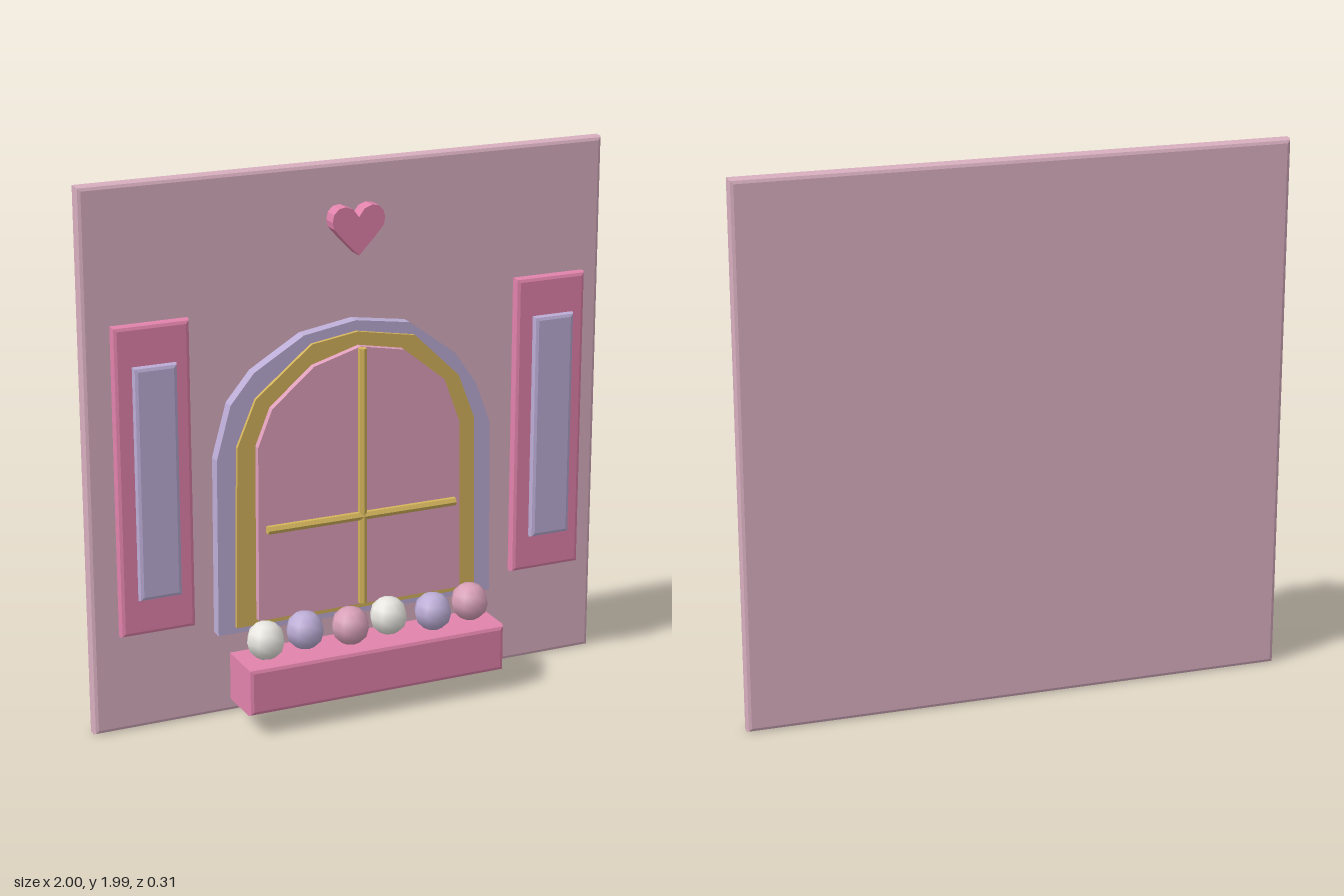
import * as THREE from 'three';

const COLORS = { wall: 0xd9afc0, pink: 0xe283ac, lavender: 0xbcadd6, gold: 0xd4b45c, glass: 0xe0a0bc, white: 0xe8e6e0, rose: 0xd8a0b8 };

export function createModel() {
  const group = new THREE.Group();

  function add(name, geometry, color, x = 0, y = 0, z = 0, flat = true) {
    const mesh = new THREE.Mesh(geometry, new THREE.MeshStandardMaterial({ color: COLORS[color], flatShading: flat }));
    mesh.name = name;
    mesh.position.set(x, y, z);
    group.add(mesh);
    return mesh;
  }

  // Box with chamfered edges, centred on its own origin
  function slab(w, h, d, b) {
    const s = new THREE.Shape();
    const x = w / 2 - b, y = h / 2 - b;
    s.moveTo(-x, -y).lineTo(x, -y).lineTo(x, y).lineTo(-x, y).closePath();
    return new THREE.ExtrudeGeometry(s, { depth: d - 2 * b, bevelThickness: b, bevelSize: b, bevelSegments: 2 })
      .translate(0, 0, b - d / 2);
  }

  // Flat plate from an outline, between two depths
  function plate(points, z0, z1, holePoints) {
    const toVectors = (list) => list.map(([x, y]) => new THREE.Vector2(x, y));
    const s = new THREE.Shape(toVectors(points));
    if (holePoints) s.holes.push(new THREE.Path(toVectors(holePoints)));
    return new THREE.ExtrudeGeometry(s, { depth: z1 - z0, bevelEnabled: false }).translate(0, 0, z0);
  }

  // Wall panel
  add('wall', slab(2, 1.99, 0.06, 0.015), 'wall', 0, 0.995, -0.13);

  // Slightly uneven, hand-cut arches of the window
  const surround = [[-0.54, 0.32], [-0.535, 0.98], [-0.48, 1.176], [-0.39, 1.283], [-0.2, 1.396], [0, 1.428],
    [0.21, 1.396], [0.39, 1.262], [0.475, 1.14], [0.535, 0.984], [0.545, 0.32]];
  const frame = [[-0.475, 0.345], [-0.463, 1.02], [-0.39, 1.19], [-0.175, 1.364], [0, 1.39],
    [0.225, 1.35], [0.4, 1.18], [0.465, 1.01], [0.475, 0.345]];
  const pane = [[-0.4, 0.37], [-0.395, 1.02], [-0.34, 1.155], [-0.18, 1.29], [0, 1.342],
    [0.17, 1.31], [0.33, 1.18], [0.393, 1.01], [0.4, 0.37]];
  add('windowSurround', plate(surround, -0.1, -0.054), 'lavender');
  add('windowFrame', plate(frame, -0.054, -0.04, pane), 'gold');
  add('windowPane', plate(pane, -0.05, -0.014), 'glass');

  // Glazing bars
  add('verticalBar', new THREE.CylinderGeometry(0.016, 0.016, 0.96, 6), 'gold', 0, 0.86, 0);
  add('horizontalBar', new THREE.CylinderGeometry(0.016, 0.016, 0.74, 6), 'gold', 0, 0.715, 0).rotation.z = Math.PI / 2;

  // Shutters with raised panels
  for (const [side, name] of [[1, 'left'], [-1, 'right']]) {
    add(name + 'Shutter', slab(0.28, 1.13, 0.046, 0.015), 'pink', side * 0.77, 0.945, -0.06);
    add(name + 'ShutterPanel', slab(0.16, 0.85, 0.036, 0.015), 'lavender', side * 0.77, 0.945, -0.02);
  }

  // Heart ornament
  const half = [[0.06, 1.73], [0.095, 1.77], [0.1, 1.795], [0.094, 1.822], [0.075, 1.841], [0.05, 1.845], [0.022, 1.835]];
  const heart = [[0, 1.668], ...half, [0, 1.805], ...half.map(([x, y]) => [-x, y]).reverse()];
  add('heart', plate(heart, -0.084, -0.028), 'pink');

  // Planter box
  add('planter', slab(1.01, 0.178, 0.2, 0.016), 'pink', -0.003, 0.172, 0.055);

  // Row of round flowers, alternating in depth
  const flowerColors = ['white', 'lavender', 'rose'];
  for (let i = 0; i < 6; i++) {
    add('flower' + (i + 1), new THREE.SphereGeometry(0.071, 8, 6), flowerColors[i % 3],
      -0.41 + i * 0.165, 0.33, i % 2 ? 0.04 : 0.07, false);
  }

  return group;
}
